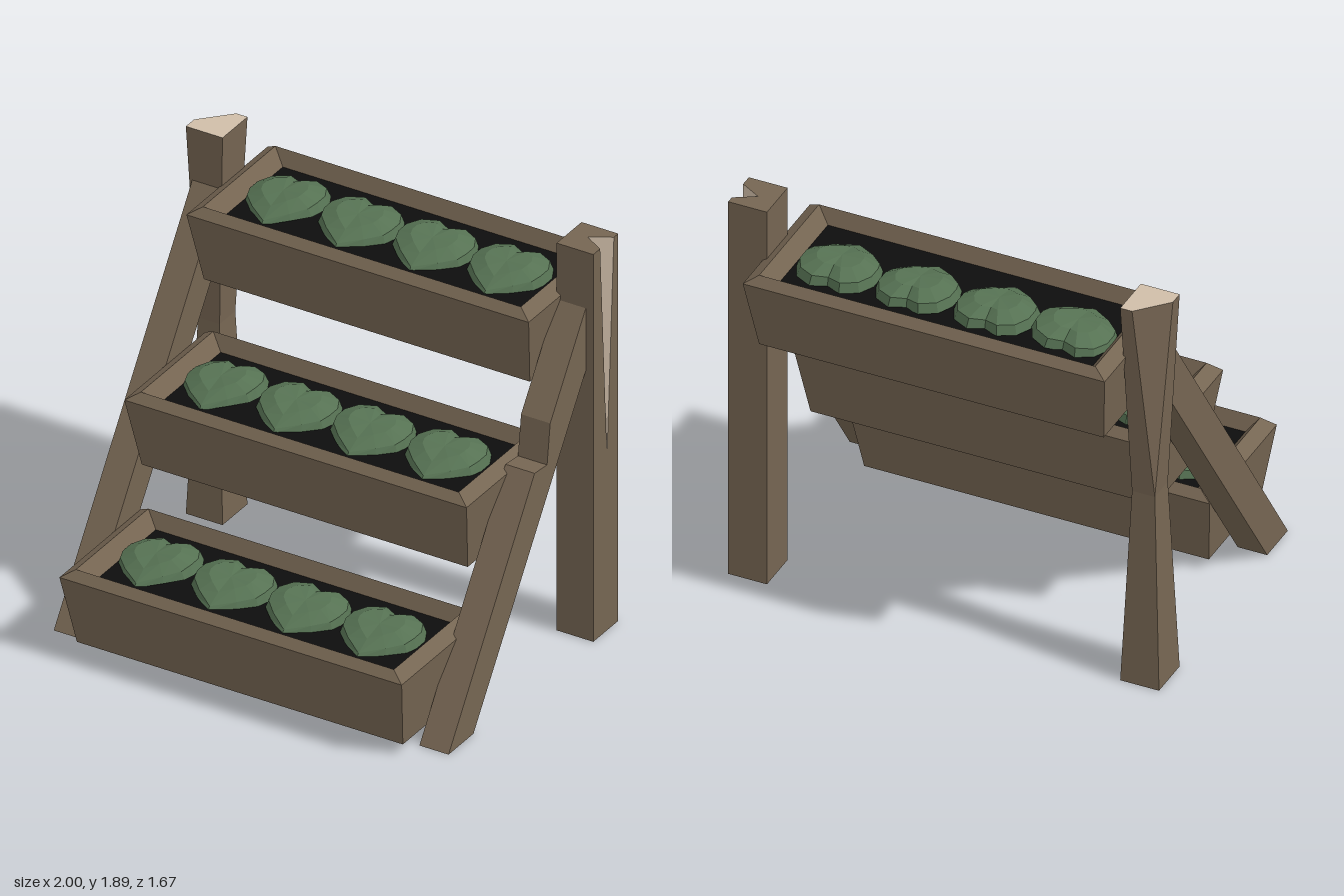
import * as THREE from 'three';

function makeMaterial(name, color) {
  const m = new THREE.MeshStandardMaterial({ color });
  m.name = name;
  return m;
}

// Flat-shaded skin over rings of [x, y, z], each running -z, -x, +z, +x.
function loft(rings, { bottom = false, top = false, pick = () => true } = {}) {
  const out = [];
  const tri = (a, b, c) => out.push(...a, ...b, ...c);
  const n = rings[0].length;
  for (let r = 0; r < rings.length - 1; r++) {
    const lo = rings[r], up = rings[r + 1];
    for (let i = 0; i < n; i++) {
      if (!pick(i)) continue;
      const j = (i + 1) % n;
      tri(lo[i], lo[j], up[j]);
      tri(lo[i], up[j], up[i]);
    }
  }
  const first = rings[0], last = rings[rings.length - 1];
  for (let i = 1; i < n - 1; i++) {
    if (bottom) tri(first[0], first[i + 1], first[i]);
    if (top) tri(last[0], last[i], last[i + 1]);
  }
  const g = new THREE.BufferGeometry();
  g.setAttribute('position', new THREE.Float32BufferAttribute(out, 3));
  g.computeVertexNormals();
  return g;
}

const ring = (y, points) => points.map(([x, z]) => [x, y, z]);
const rect = (y, hx, hz) => ring(y, [[-hx, -hz], [-hx, hz], [hx, hz], [hx, -hz]]);

export function createModel() {
  const model = new THREE.Group();
  model.name = 'tieredPlanter';
  const wood = makeMaterial('weathered wood', 0x756552);
  const cutWood = makeMaterial('fresh cut wood', 0xcfbda8);
  const soil = makeMaterial('dark soil', 0x0d0d0d);
  const leaf = makeMaterial('leaf green', 0x567253);

  const add = (parent, name, geometry, material) => {
    const mesh = new THREE.Mesh(geometry, material);
    mesh.name = name;
    parent.add(mesh);
    return mesh;
  };

  // Heart-shaped plant: steep rim, raised lobes, centre crease
  const half = [[-0.07, -0.178], [-0.145, -0.14], [-0.18, -0.07], [-0.18, 0], [-0.165, 0.05], [-0.1, 0.115]];
  const heart = [[0, -0.148], ...half, [0, 0.185], ...half.map(([x, z]) => [-x, z]).reverse()];
  const heartRing = (s, y, slope) => heart.map(([x, z]) =>
    [x * s, y - Math.max(0, z) * slope - (x === 0 ? 0.008 : 0), z * s]);
  const plantGeometry = loft([
    heartRing(1, 0.362, 0),
    heartRing(0.92, 0.405, 0.14),
    heartRing(0.55, 0.436, 0.12),
    heart.map(() => [0, 0.43, 0]),
  ]);

  // Three stepped planter boxes with bevelled rims
  const rim = [
    rect(0.05, 0.8, 0.25), rect(0.39, 0.84, 0.325), rect(0.43, 0.78, 0.29), rect(0.36, 0.725, 0.26),
  ];
  const boxGeometry = loft(rim, { bottom: true });
  const soilGeometry = loft([rim[3]], { top: true });
  const tilts = [0.09, -0.02, -0.04, 0];
  [[0, 0.51], [0.6, -0.01], [1.25, -0.508]].forEach(([y, z], tier) => {
    const planter = new THREE.Group();
    planter.name = ['lowerPlanter', 'middlePlanter', 'upperPlanter'][tier];
    planter.position.set(0, y, z);
    add(planter, 'planterBox', boxGeometry, wood);
    add(planter, 'soil', soilGeometry, soil);
    tilts.forEach((tilt, i) => {
      const pivot = new THREE.Group();
      pivot.name = 'plant';
      pivot.position.set(-0.562 + i * 0.365, 0.4, 0);
      pivot.rotation.z = tilt;
      add(pivot, 'leaves', plantGeometry, leaf).position.y = -0.4;
      planter.add(pivot);
    });
    model.add(planter);
  });

  // Sloping struts; one has a broken step in its front edge
  const strut = (name, xMax, width, notch) => {
    const outline = [[0.66, 0], ...notch, [-0.47, 1.66], [-0.47, 1.355], [0.46, 0]];
    const shape = new THREE.Shape(outline.map(([z, y]) => new THREE.Vector2(z, y)));
    const g = new THREE.ExtrudeGeometry(shape, { depth: width, bevelEnabled: false });
    g.rotateY(-Math.PI / 2).translate(xMax, 0, 0);
    add(model, name, g, wood);
  };
  strut('leftStrut', 0.963, 0.143, [[-0.03, 1.02], [-0.13, 1.01], [-0.155, 1.2]]);
  strut('rightStrut', -0.838, 0.137, []);

  // Left post with a split running down its outer face
  const splitPost = (depth, spread) => [
    [1 - depth, -0.55], [1, -0.55 - spread], [1, -0.64], [0.82, -0.64],
    [0.82, -0.44], [1, -0.44], [1, -0.55 + spread],
  ];
  const tip = ring(0.85, splitPost(0, 0));
  const head = ring(1.89, splitPost(0.095, 0.055));
  const isSplit = (i) => i === 0 || i === 6;
  add(model, 'leftPostBase', loft([ring(0, splitPost(0, 0)), tip], { bottom: true }), wood);
  add(model, 'leftPostTop', loft([tip, head], { top: true, pick: (i) => !isSplit(i) }), wood);
  add(model, 'leftPostSplit', loft([tip, head], { pick: isSplit }), cutWood);

  // Right post: waisted, with one corner hewn off towards the top
  const waisted = (y, inset) => {
    const a = -1 + inset, b = -0.82 - inset, c = -0.64 + inset, d = -0.44 - inset;
    return ring(y, [[a, c], [a, c], [a, d], [b, d], [b, c]]);
  };
  const hewn = ring(1.89, [[-0.875, -0.64], [-1, -0.505], [-1, -0.44], [-0.82, -0.44], [-0.82, -0.64]]);
  add(model, 'rightPost', loft([waisted(0, 0), waisted(0.95, 0.037), hewn], { bottom: true }), wood);
  add(model, 'rightPostCutTop', loft([hewn], { top: true }), cutWood);

  return model;
}
